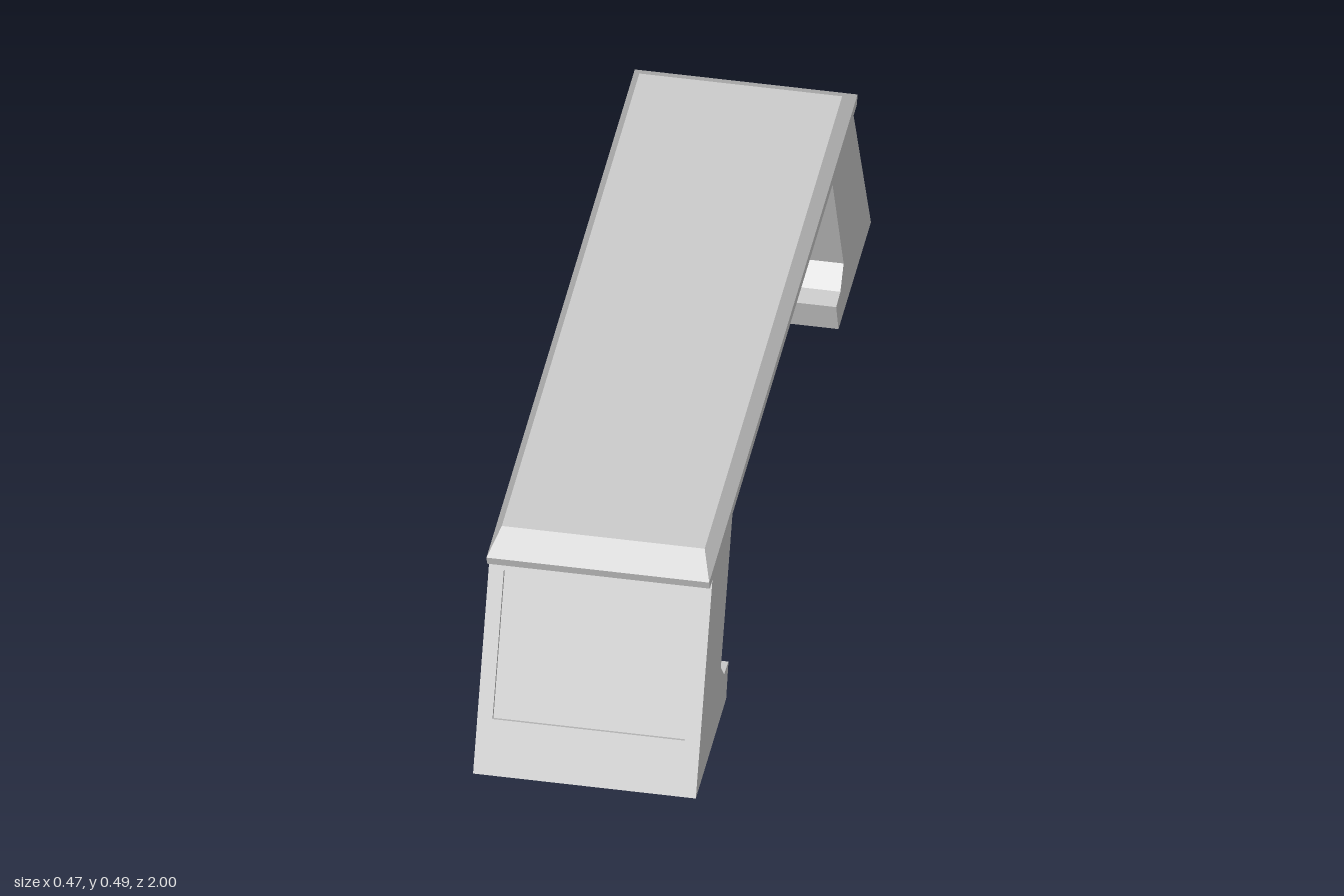
import * as THREE from 'three';

const HALF_W = 0.235;    // half width of the handle
const PANEL_W = 0.203;   // half width of the recessed panels
const LEG_TOP = 0.428;
const RECESS = 0.012;

const material = new THREE.MeshStandardMaterial({ color: 0xcccccc, flatShading: true });

// Extrudes a (z, y) profile along x from x0 to x1
function slice(points, x0, x1) {
  const shape = new THREE.Shape(points.map(([z, y]) => new THREE.Vector2(z, y)));
  const geometry = new THREE.ExtrudeGeometry(shape, { depth: x1 - x0, bevelEnabled: false });
  geometry.rotateY(-Math.PI / 2);
  geometry.translate(x1, 0, 0);
  return new THREE.Mesh(geometry, material);
}

// Slanted leg with a hooked foot; side is +1 at the front, -1 at the back
function createLeg(side, top, inner) {
  const slope = new THREE.Vector2(top - 1, LEG_TOP).normalize();
  const onFace = (y) => [1 + (top - 1) * y / LEG_TOP, y];
  const inset = ([z, y]) => [z - slope.y * RECESS, y + slope.x * RECESS];
  const low = onFace(0.11);
  const high = onFace(0.402);
  const notch = [low, inset(low), inset(high), high];
  const profile = (face) =>
    [[1, 0], ...face, [top, LEG_TOP], ...inner].map(([z, y]) => [z * side, y]);

  const leg = new THREE.Group();
  const parts = [
    ['legRightSide', [], -HALF_W, -PANEL_W],
    ['legPanel', notch, -PANEL_W, PANEL_W],
    ['legLeftSide', [], PANEL_W, HALF_W],
  ];
  for (const [name, face, x0, x1] of parts) {
    const mesh = slice(profile(face), x0, x1);
    mesh.name = name;
    leg.add(mesh);
  }
  return leg;
}

// Grip bar: a box whose three levels are resized to form the lip and bevel
function createGrip() {
  const levels = [
    { y: LEG_TOP, x: HALF_W, z: 0.84 },
    { y: 0.449, x: HALF_W, z: 0.847 },
    { y: 0.488, x: 0.214, z: 0.785 },
  ];
  const box = new THREE.BoxGeometry(2, 2, 2, 1, 2, 1);
  const p = box.attributes.position;
  for (let i = 0; i < p.count; i++) {
    const level = levels[Math.round(p.getY(i)) + 1];
    p.setXYZ(i, p.getX(i) * level.x, level.y, p.getZ(i) * level.z);
  }
  const geometry = box.toNonIndexed();
  geometry.computeVertexNormals();
  const grip = new THREE.Mesh(geometry, material);
  grip.name = 'gripBar';
  return grip;
}

export function createModel() {
  const model = new THREE.Group();
  model.name = 'handle';

  // Inner outlines run from the top of the leg down to the foot
  const frontLeg = createLeg(1, 0.81,
    [[0.581, LEG_TOP], [0.714, 0.127], [0.677, 0.081], [0.627, 0.077], [0.653, 0]]);
  frontLeg.name = 'frontLeg';
  const backLeg = createLeg(-1, 0.802,
    [[0.562, LEG_TOP], [0.688, 0.127], [0.651, 0.081], [0.603, 0.077], [0.629, 0]]);
  backLeg.name = 'backLeg';

  model.add(frontLeg, backLeg, createGrip());
  return model;
}
